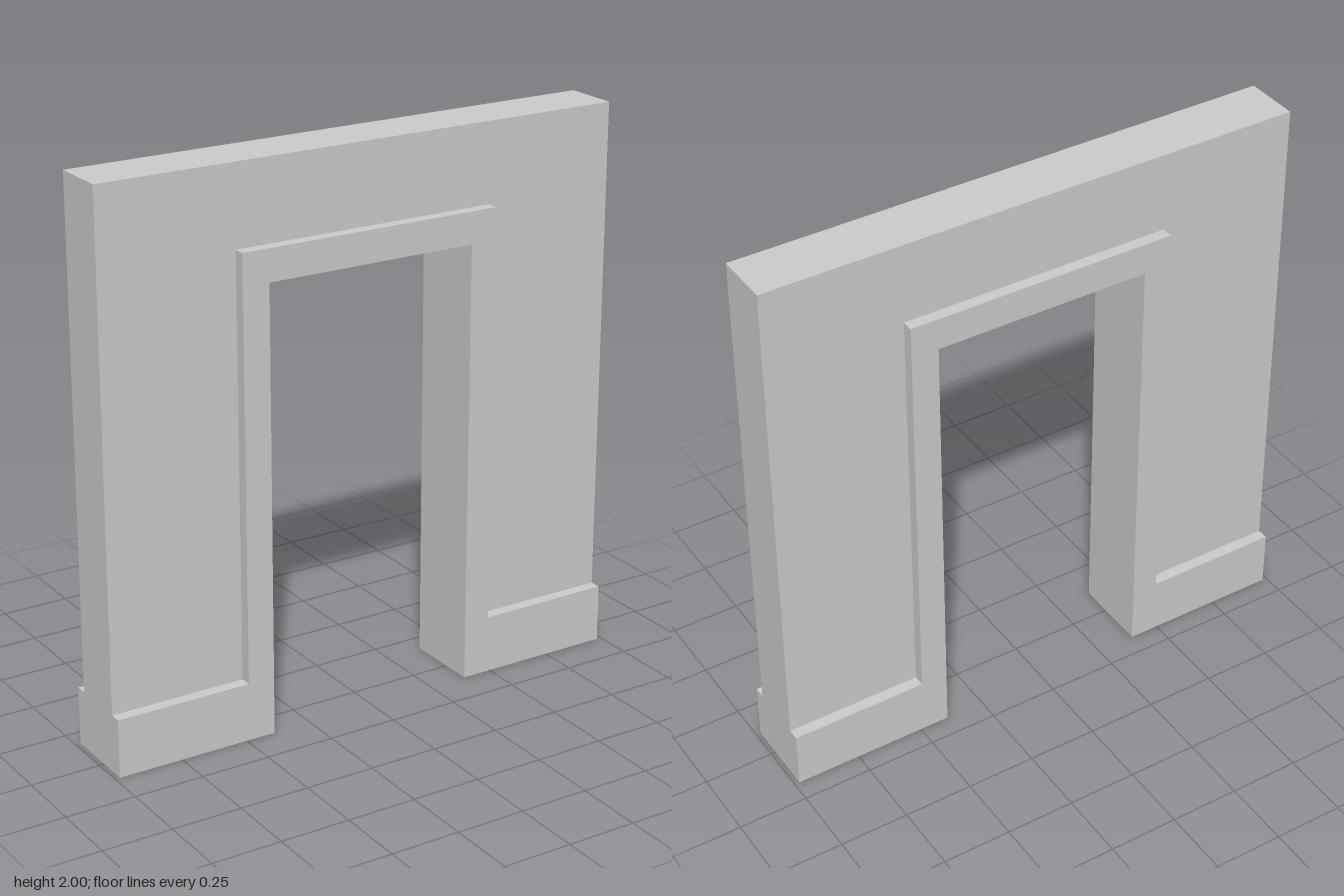
import * as THREE from 'three';

const HALF_W = 0.983, TOP = 2;             // whole wall
const DOOR_W = 0.392, DOOR_H = 1.6;        // opening half width and height
const TRIM_W = 0.49, TRIM_H = 1.714;       // outer edge of the door surround
const BASE_H = 0.21;                       // plinth height
const MID_Z = -0.03;                       // middle of the wall thickness

// Extrudes an outline, given by its right half, mirrored about x = 0
function mirroredSlab(name, half, depth, material) {
  const left = half.map(([x, y]) => [-x, y]).reverse();
  const shape = new THREE.Shape([...half, ...left].map(([x, y]) => new THREE.Vector2(x, y)));
  const geometry = new THREE.ExtrudeGeometry(shape, { depth, bevelEnabled: false });
  geometry.translate(0, 0, MID_Z - depth / 2);
  const mesh = new THREE.Mesh(geometry, material);
  mesh.name = name;
  return mesh;
}

export function createModel() {
  const group = new THREE.Group();
  group.name = 'doorwayWall';
  const material = new THREE.MeshStandardMaterial({ color: 0xcccccc, flatShading: true });

  // Thin wall panel, fitted around the surround and resting on the plinth
  group.add(mirroredSlab('wallPanel', [
    [TRIM_W, TRIM_H], [TRIM_W, BASE_H], [HALF_W, BASE_H], [HALF_W, TOP],
  ], 0.2, material));

  // Thicker door surround and plinth in one piece
  group.add(mirroredSlab('doorSurroundAndPlinth', [
    [DOOR_W, DOOR_H], [DOOR_W, 0], [HALF_W, 0], [HALF_W, BASE_H],
    [TRIM_W, BASE_H], [TRIM_W, TRIM_H],
  ], 0.284, material));

  return group;
}
